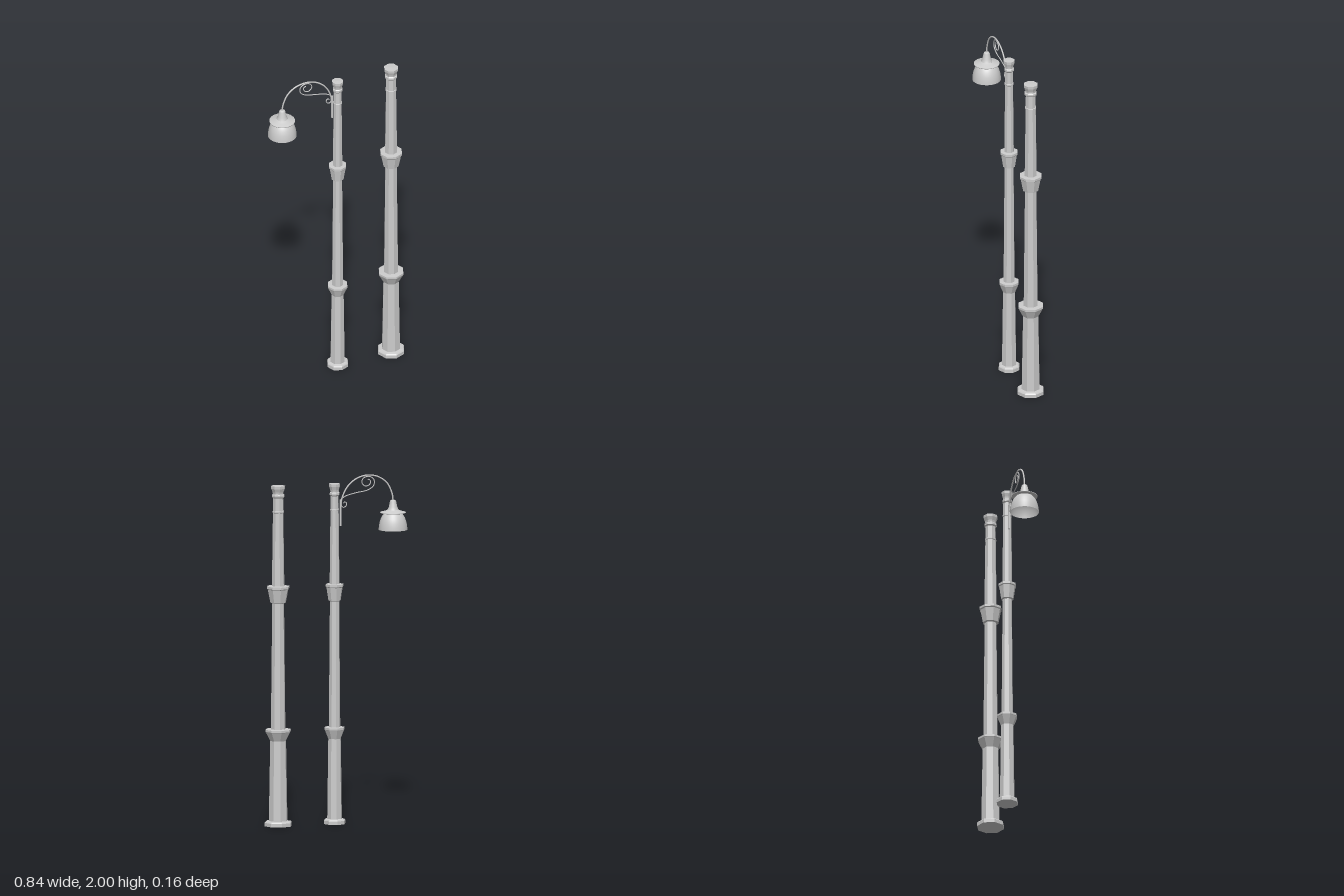
import * as THREE from 'three';

const faceted = new THREE.MeshStandardMaterial({ color: 0xcccccc, flatShading: true });
const smooth = new THREE.MeshStandardMaterial({ color: 0xcccccc, side: THREE.DoubleSide });

function lathe(name, profile, segments, material) {
  const points = profile.map(([r, y]) => new THREE.Vector2(r, y));
  const mesh = new THREE.Mesh(new THREE.LatheGeometry(points, segments), material);
  mesh.name = name;
  return mesh;
}

function rod(name, path, radius, steps) {
  const curve = new THREE.CatmullRomCurve3(path.map(([x, y]) => new THREE.Vector3(x, y, 0)));
  const mesh = new THREE.Mesh(new THREE.TubeGeometry(curve, steps, radius, 6), smooth);
  mesh.name = name;
  return mesh;
}

// Octagonal post with its corners on the x and z axes
function post(name, x, width) {
  const group = new THREE.Group();
  group.name = name;
  group.add(
    lathe('plinth', [[0, 0], [0.08, 0], [0.08, 0.02], [0.075, 0.026], [0.056, 0.03], [0, 0.03]], 8, faceted),
    lathe('lowerShaft', [[0.055, 0.03], [0.047, 0.49]], 8, faceted),
    lathe('lowerCollar', [[0.047, 0.49], [0.073, 0.54], [0.075, 0.543], [0.075, 0.555], [0.042, 0.557]], 8, faceted),
    lathe('middleShaft', [[0.043, 0.555], [0.035, 1.29]], 8, faceted),
    lathe('upperCollar', [[0.035, 1.28], [0.046, 1.285], [0.061, 1.36], [0.066, 1.365], [0.066, 1.378], [0.035, 1.38]], 8, faceted),
    lathe('upperShaft', [[0.037, 1.375], [0.031, 1.8], [0.034, 1.802], [0.034, 1.81], [0.031, 1.812], [0.03, 1.89]], 8, faceted),
    lathe('capital', [[0.03, 1.885], [0.037, 1.892], [0.037, 1.903], [0.031, 1.908], [0.033, 1.92],
      [0.041, 1.94], [0.042, 1.955], [0, 1.957]], 8, faceted)
  );
  group.scale.set(width, 1, width);
  group.position.x = x;
  return group;
}

export function createModel() {
  const model = new THREE.Group();
  model.add(post('lampPost', 0.007, 0.79), post('widePost', 0.34, 1));

  // Hanging lamp: open shade, thin brim and neck
  const lamp = new THREE.Group();
  lamp.name = 'lamp';
  lamp.add(
    lathe('shade', [[0.082, 1.678], [0.081, 1.695], [0.077, 1.72], [0.069, 1.745], [0.058, 1.763], [0.046, 1.777]], 40, smooth),
    lathe('brim', [[0.046, 1.775], [0.073, 1.775], [0.073, 1.779], [0.05, 1.784], [0.032, 1.793]], 40, smooth),
    lathe('neck', [[0.032, 1.793], [0.024, 1.81], [0.018, 1.84], [0.014, 1.848], [0, 1.85]], 24, smooth)
  );
  lamp.position.x = -0.338;
  model.add(lamp);

  // Arched arm with its scrollwork and wall strap
  model.add(
    rod('arm', [[-0.338, 1.84], [-0.334, 1.88], [-0.305, 1.945], [-0.255, 1.984], [-0.19, 1.997],
      [-0.125, 1.981], [-0.07, 1.936], [-0.037, 1.87], [-0.03, 1.82]], 0.0045, 60),
    rod('largeScroll', [[-0.032, 1.865], [-0.06, 1.882], [-0.12, 1.898], [-0.19, 1.912], [-0.224, 1.937],
      [-0.225, 1.97], [-0.197, 1.989], [-0.163, 1.98], [-0.154, 1.955], [-0.174, 1.934],
      [-0.2, 1.943], [-0.205, 1.964], [-0.19, 1.974]], 0.003, 90),
    rod('smallScroll', [[-0.032, 1.865], [-0.031, 1.833], [-0.045, 1.817], [-0.061, 1.825],
      [-0.063, 1.841], [-0.052, 1.848], [-0.046, 1.84]], 0.003, 50)
  );
  const strap = new THREE.Mesh(new THREE.BoxGeometry(0.009, 0.15, 0.009), faceted);
  strap.name = 'strap';
  strap.position.set(-0.027, 1.787, 0);
  model.add(strap);
  return model;
}
